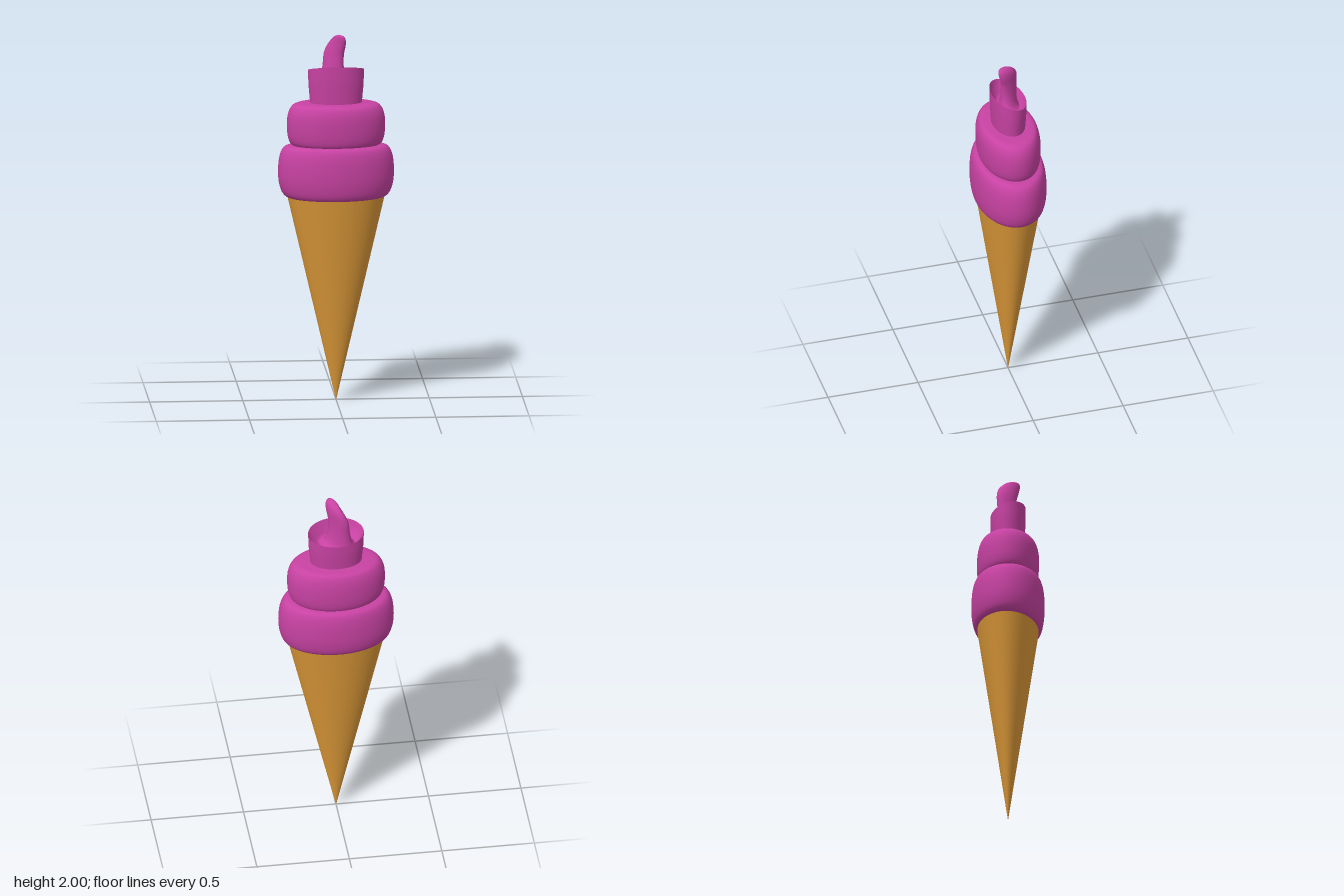
import * as THREE from 'three';

const SEGMENTS = 72;
const DEPTH = 0.63; // depth / width of every oval section
const cream = new THREE.MeshStandardMaterial({ color: 0xc742a2, side: THREE.DoubleSide });
const wafer = new THREE.MeshStandardMaterial({ color: 0xdb9838, side: THREE.DoubleSide });

// Smooth loft through oval sections: [half width, half depth, y, tilt, centre x, centre z, turn]
function loft(name, sections, steps = 6) {
  const full = sections.map(([a, b, y, tilt = 0, cx = 0, cz = 0, turn = 0]) => [a, b, y, tilt, cx, cz, turn]);
  const spline = new THREE.CubicInterpolant(full.map((_, i) => i), full.flat(), 7);
  const rows = (full.length - 1) * steps;
  const pos = [], index = [];
  for (let j = 0; j <= rows; j++) {
    const [a, b, y, tilt, cx, cz, turn] = spline.evaluate(j / steps);
    const c = Math.cos(turn), s = Math.sin(turn);
    for (let i = 0; i < SEGMENTS; i++) {
      const t = (i / SEGMENTS) * Math.PI * 2 - turn;
      const u = a * Math.cos(t), v = b * Math.sin(t);
      const z = cz + u * s + v * c;
      pos.push(cx + u * c - v * s, y + tilt * z, z);
      if (j === rows) continue;
      const p = j * SEGMENTS + i, q = j * SEGMENTS + (i + 1) % SEGMENTS;
      index.push(p, p + SEGMENTS, q, q, p + SEGMENTS, q + SEGMENTS);
    }
  }
  const geo = new THREE.BufferGeometry();
  geo.setAttribute('position', new THREE.Float32BufferAttribute(pos, 3));
  geo.setIndex(index);
  geo.computeVertexNormals();
  const mesh = new THREE.Mesh(geo, cream);
  mesh.name = name;
  return mesh;
}

// Sections sharing the common oval proportion: [half width, y, tilt]
const oval = (rows) => rows.map(([r, y, tilt]) => [r, r * DEPTH, y, tilt]);

export function createModel() {
  const group = new THREE.Group();
  group.name = 'iceCreamCone';

  // Wafer cone, point down
  const coneGeo = new THREE.CylinderGeometry(0.262, 0.001, 1.12, SEGMENTS, 12, true);
  coneGeo.translate(0, 0.56, 0);
  coneGeo.scale(1, 1, DEPTH);
  const cone = new THREE.Mesh(coneGeo, wafer);
  cone.name = 'waferCone';
  group.add(cone);

  // Two bulging swirls
  group.add(loft('lowerSwirl', oval([
    [0.235, 1.113, 0], [0.265, 1.115, 0], [0.29, 1.14, 0.01], [0.306, 1.19, 0.03], [0.311, 1.25, 0.05],
    [0.306, 1.32, 0.05], [0.29, 1.37, 0.04], [0.262, 1.392, 0.04], [0.2, 1.396, 0.04],
  ])));
  group.add(loft('upperSwirl', oval([
    [0.2, 1.391, 0.04], [0.235, 1.397, 0.04], [0.254, 1.425, 0.06], [0.263, 1.48, 0.1],
    [0.261, 1.55, 0.08], [0.243, 1.6, 0.04], [0.21, 1.622, 0.02], [0.13, 1.627, 0.02],
  ])));

  // Slanted collar
  group.add(loft('collar', oval([
    [0.138, 1.615, 0.02], [0.142, 1.66, 0.08], [0.148, 1.73, 0.22], [0.15, 1.805, 0.32],
  ])));

  // Dished top of the collar rising into the twisted, leaning tip
  group.add(loft('curledTip', [
    [0.15, 0.0945, 1.805, 0.32],
    [0.128, 0.08, 1.768, 0.28, -0.003, 0],
    [0.1, 0.062, 1.742, 0.2, -0.008, -0.002, 0.2],
    [0.075, 0.046, 1.762, 0.1, -0.013, -0.005, 0.45],
    [0.064, 0.038, 1.82, 0, -0.015, -0.006, 0.65],
    [0.065, 0.033, 1.89, 0, -0.011, -0.007, 0.78],
    [0.065, 0.029, 1.94, 0.1, 0.003, 0.002, 0.9],
    [0.055, 0.024, 1.97, 0.15, 0.012, 0.014, 1.0],
    [0.036, 0.016, 1.988, 0.15, 0.014, 0.024, 1.05],
    [0.001, 0.001, 1.996, 0.15, 0.013, 0.03, 1.05],
  ]));

  return group;
}
